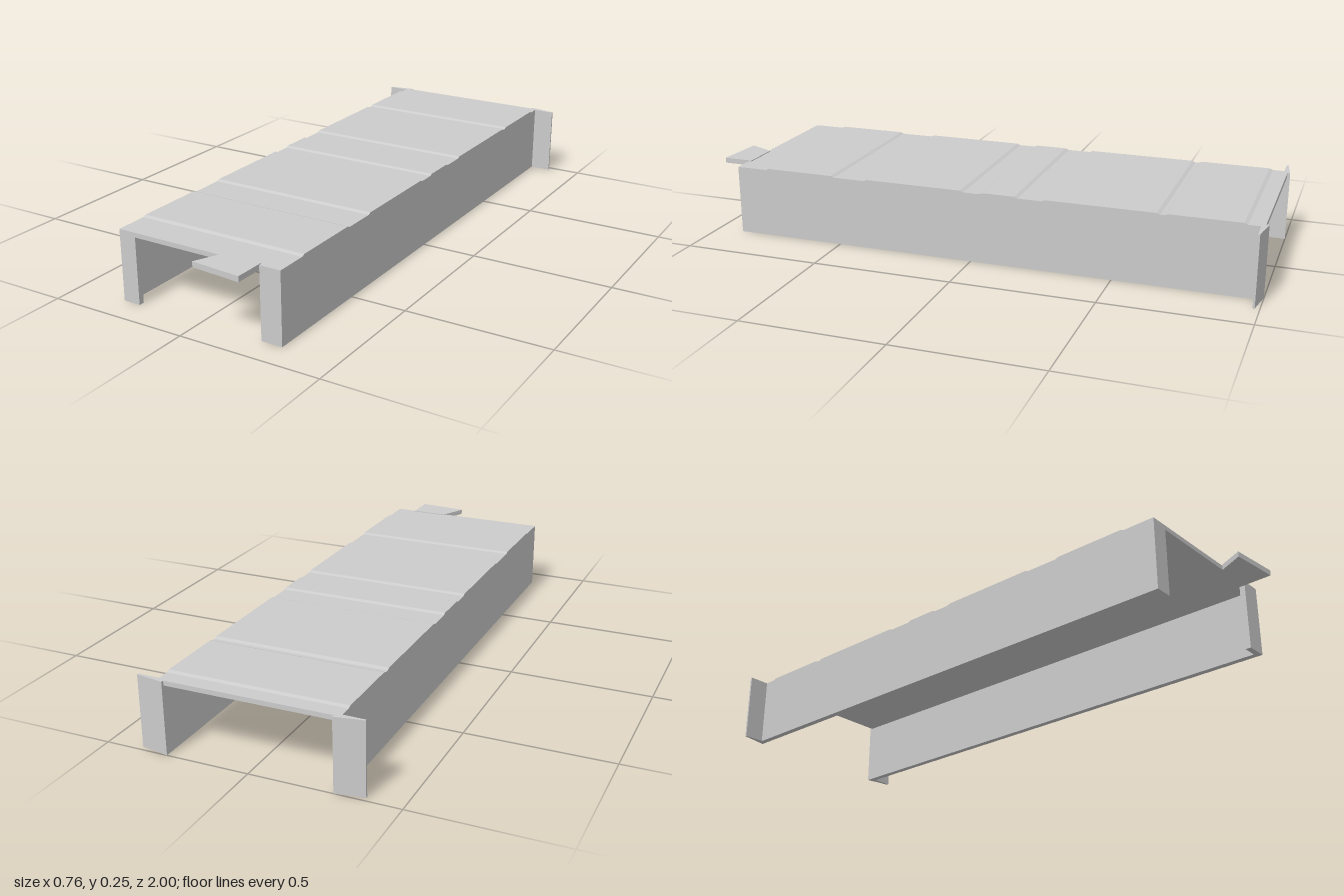
import * as THREE from 'three';

const material = new THREE.MeshStandardMaterial({ color: 0xcccccc, flatShading: true });

function extrude(points, depth) {
  const shape = new THREE.Shape(points.map(([a, b]) => new THREE.Vector2(a, b)));
  return new THREE.ExtrudeGeometry(shape, { depth, bevelEnabled: false });
}

// Plan outline given as [x, z], standing from y0 to y1
function plan(points, y0, y1) {
  return extrude(points.map(([x, z]) => [x, -z]), y1 - y0).rotateX(-Math.PI / 2).translate(0, y0, 0);
}

export function createModel() {
  const group = new THREE.Group();
  const add = (name, geometry) => {
    const mesh = new THREE.Mesh(geometry, material);
    mesh.name = name;
    group.add(mesh);
  };

  const half = 0.305, front = 0.9, back = -0.99;
  const low = 0.249, high = 0.254, under = 0.233;

  // Roof: shallow raised panels, each given by its front and back z
  const panels = [[0.78, 0.52], [0.39, 0.03], [-0.04, -0.165], [-0.26, -0.65], [-0.675, -0.93]];
  const profile = [[front, under], [front, low]];
  for (const [a, b] of panels) {
    profile.push([a + 0.006, low], [a - 0.006, high], [b + 0.006, high], [b - 0.006, low]);
  }
  profile.push([back, low], [back, under]);
  add('roof', extrude(profile, half * 2).rotateY(-Math.PI / 2).translate(half, 0, 0));

  // Side walls with an inward return at the front and a tapered flange at the back
  for (const [side, s, inner] of [['left', 1, 0.23], ['right', -1, 0.243]]) {
    const mirror = (pts) => pts.map(([x, z]) => [x * s, z]);
    const t = half - 0.022;
    add(side + 'Wall', plan(mirror([
      [half, back], [half, front], [inner, front], [inner, front - 0.02],
      [t, front - 0.02], [t, back],
    ]), 0, low));
    add(side + 'BackFlange', plan(mirror([
      [0.38, -0.977], [0.38, -0.984], [0.35, -0.988], [0.283, -1], [0.283, -0.986], [half, -0.977],
    ]), 0, low));
  }

  // Flat tab projecting from the front edge of the roof
  add('frontTab', plan([[0.095, 0.89], [0.05, 0.985], [0.228, 1], [0.23, 0.89]], under, 0.252));

  return group;
}
